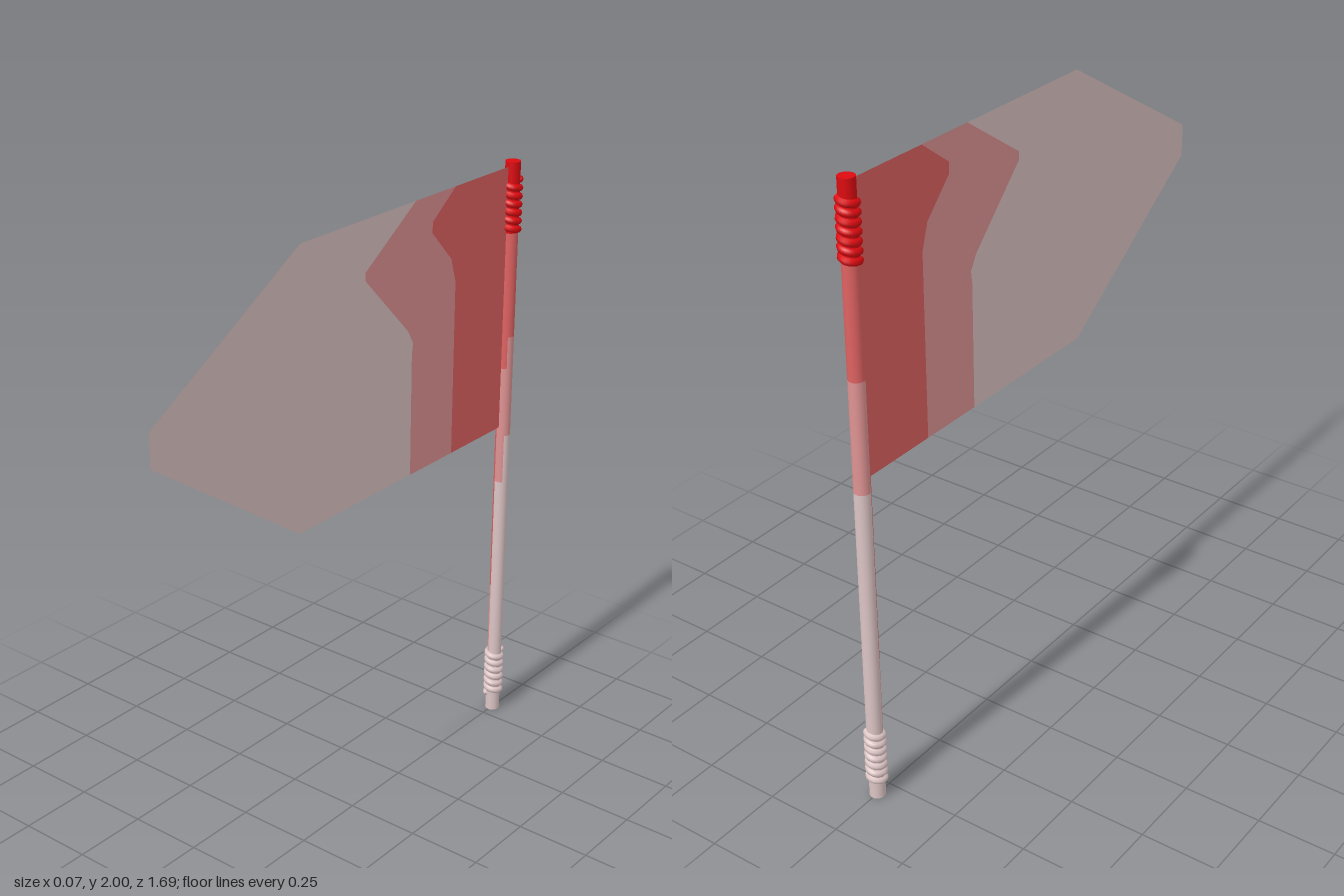
import * as THREE from 'three';
import { mergeGeometries } from 'three/addons/utils/BufferGeometryUtils.js';

const POLE_Z = -0.805, POLE_R = 0.025;

const mat = (name, color, side = THREE.FrontSide) => {
  const m = new THREE.MeshStandardMaterial({ color, side });
  m.name = name;
  return m;
};

export function createModel() {
  const group = new THREE.Group();
  const pale = mat('pale pink', 0xdcc4c4, THREE.DoubleSide);
  const mid = mat('dusty pink', 0xdf9393, THREE.DoubleSide);
  const rose = mat('rose red', 0xdf6262, THREE.DoubleSide);
  const red = mat('bright red', 0xdc0a10);

  const add = (name, geometry, material) => {
    const mesh = new THREE.Mesh(geometry, material);
    mesh.name = name;
    group.add(mesh);
    return mesh;
  };

  // Cloth: three flat bands in the plane x = 0, given as [z, y] outlines
  const top = 1.985, bottom = 1.1;
  const innerEdge = [[-0.51, bottom], [-0.51, 1.68], [-0.485, 1.76], [-0.385, 1.865],
    [-0.385, 1.9], [-0.5, top]];
  const outerEdge = [[-0.29, bottom], [-0.29, 1.5], [-0.295, 1.54], [-0.32, 1.585],
    [-0.06, 1.8], [-0.06, 1.825], [-0.3, top]];
  outerEdge[3] = [-0.27, 1.585];
  const cloth = (name, points, material) => {
    const shape = new THREE.Shape(points.map(([z, y]) => new THREE.Vector2(z, y)));
    add(name, new THREE.ShapeGeometry(shape).rotateY(-Math.PI / 2), material);
  };
  cloth('clothHoistBand', [[POLE_Z, top], [POLE_Z, bottom], ...innerEdge], rose);
  cloth('clothMiddleBand', [...innerEdge, ...[...outerEdge].reverse()], mid);
  cloth('clothFlyBand', [...outerEdge, [0.23, top], [0.85, 1.625], [0.85, 1.52], [0.25, bottom]], pale);

  // Pole: side strips whose colour changes at a height that depends on the direction
  const sides = 16, step = (Math.PI * 2) / sides;
  const strips = { rose: [], mid: [], pale: [] };
  const strip = (list, y0, y1, a) => list.push(
    new THREE.CylinderGeometry(POLE_R, POLE_R, y1 - y0, 1, 1, true, a, step)
      .translate(0, (y0 + y1) / 2, POLE_Z));
  for (let i = 0; i < sides; i++) {
    const a = i * step, c = a + step / 2;
    let [high, low] = [1.42, 1.07];
    if (Math.cos(c) > 0.6) [high, low] = [1.31, 0.9];      // front
    if (i === 13 || i === 14) [high, low] = [0.5, 0.24];   // long streak, front left
    strip(strips.rose, high, 1.77, a);
    strip(strips.mid, low, high, a);
    strip(strips.pale, 0, low, a);
  }
  add('poleUpper', mergeGeometries(strips.rose), rose);
  add('poleMiddle', mergeGeometries(strips.mid), mid);
  add('poleLower', mergeGeometries(strips.pale), pale);

  // Pole tip and foot
  add('poleTip', new THREE.CylinderGeometry(POLE_R, POLE_R, 0.23, sides), red)
    .position.set(0, 1.885, POLE_Z);
  add('poleFoot', new THREE.CircleGeometry(POLE_R, sides).rotateX(Math.PI / 2), pale)
    .position.set(0, 0, POLE_Z);

  // Cord wound round both ends of the pole
  const winding = (name, y0, y1, material) => {
    const turns = 6.5, n = 78, r = 0.023, points = [];
    for (let i = 0; i <= n; i++) {
      const t = i / n, a = -Math.PI / 4 - t * turns * Math.PI * 2;
      points.push(new THREE.Vector3(Math.sin(a) * r, y0 + (y1 - y0) * t, POLE_Z + Math.cos(a) * r));
    }
    const curve = new THREE.CatmullRomCurve3(points);
    const cord = [new THREE.TubeGeometry(curve, 156, 0.012, 8)];
    // rounded cord ends
    for (const p of [points[0], points[n]])
      cord.push(new THREE.SphereGeometry(0.012, 8, 6).translate(p.x, p.y, p.z));
    add(name, mergeGeometries(cord), material);
  };
  winding('upperCord', 1.765, 1.94, red);
  winding('lowerCord', 0.062, 0.238, pale);

  return group;
}
